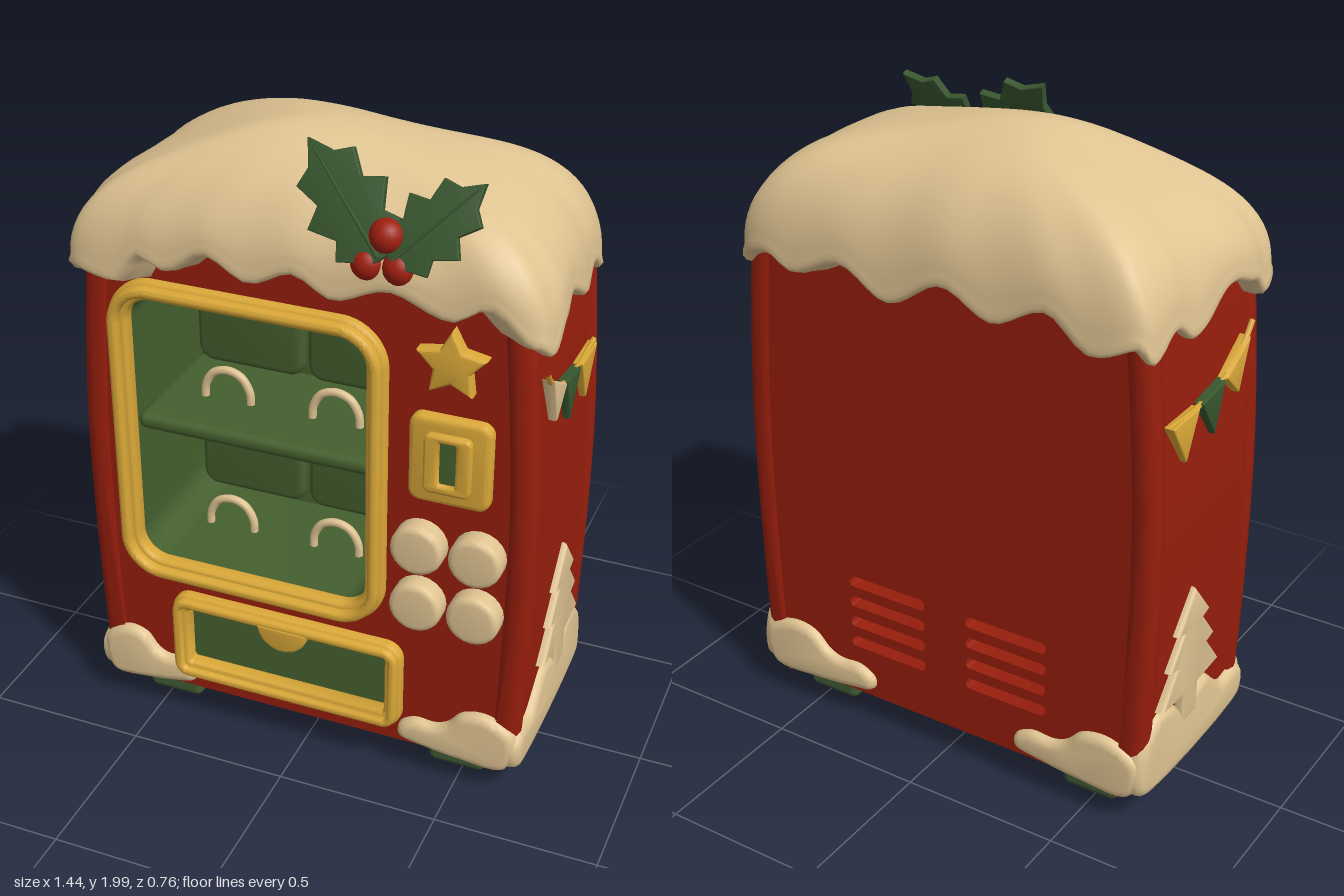
import * as THREE from 'three';
import { toCreasedNormals } from 'three/addons/utils/BufferGeometryUtils.js';
import { RoundedBoxGeometry } from 'three/addons/geometries/RoundedBoxGeometry.js';

const mat = (name, color) => new THREE.MeshStandardMaterial({ name, color });
const V2 = (p) => new THREE.Vector2(p[0], p[1]);

export function createModel() {
  const model = new THREE.Group();
  model.name = 'snowyVendingMachine';
  const red = mat('red', 0x971e0c), cream = mat('cream', 0xe0c492), gold = mat('gold', 0xdaa838);
  const green = mat('green', 0x45602f), leafGreen = mat('leafGreen', 0x38562f), berryRed = mat('berryRed', 0xa01f0f);
  const footGreen = mat('footGreen', 0x405b35);

  const add = (name, geo, material, parent = model) => {
    const m = new THREE.Mesh(geo, material);
    m.name = name;
    parent.add(m);
    return m;
  };
  // Plate from a shape, reaching from z0 to z1 with rounded rims
  const slab = (name, shape, z0, z1, b, material, parent = model) => {
    const geo = new THREE.ExtrudeGeometry(shape, {
      depth: z1 - z0 - 2 * b, curveSegments: 10, bevelEnabled: b > 0,
      bevelSize: b, bevelThickness: b, bevelOffset: -b, bevelSegments: 3,
    });
    geo.translate(0, 0, z0 + b);
    return add(name, toCreasedNormals(geo, 0.7), material, parent);
  };
  const poly = (pts) => new THREE.Shape(pts.map(V2));
  const blob = (pts) => {
    const c = new THREE.CatmullRomCurve3(pts.map((p) => new THREE.Vector3(p[0], p[1], 0)), true);
    return new THREE.Shape(c.getPoints(60).slice(0, -1).map((p) => new THREE.Vector2(p.x, p.y)));
  };
  const roundRect = (x0, y0, x1, y1, r) => {
    const s = new THREE.Shape();
    s.absarc(x1 - r, y1 - r, r, 0, Math.PI / 2);
    s.absarc(x0 + r, y1 - r, r, Math.PI / 2, Math.PI);
    s.absarc(x0 + r, y0 + r, r, Math.PI, Math.PI * 1.5);
    s.absarc(x1 - r, y0 + r, r, Math.PI * 1.5, Math.PI * 2);
    s.closePath();
    return s;
  };
  // Ring between two insets of one rounded rectangle
  const ring = (x0, y0, x1, y1, r, i, o) => {
    const s = roundRect(x0 + i, y0 + i, x1 - i, y1 - i, r - i);
    s.holes.push(roundRect(x0 + o, y0 + o, x1 - o, y1 - o, Math.max(r - o, 0.012)));
    return s;
  };

  // Cabinet with gently bulging sides
  const sideCurve = new THREE.SplineCurve([[0.66, 0.1], [0.685, 0.17], [0.7, 0.5], [0.705, 0.9],
    [0.695, 1.2], [0.668, 1.55], [0.645, 1.67]].map(V2)).getPoints(24);
  const outline = (inset) => poly([
    ...sideCurve.map((p) => [p.x - inset, p.y]),
    ...sideCurve.slice().reverse().map((p) => [inset - p.x, p.y])]);
  const front = outline(0.015), back = outline(0.015);
  front.holes.push(roundRect(-0.55, 0.56, 0.22, 1.475, 0.1), roundRect(-0.39, 0.2, 0.28, 0.42, 0.02));
  for (const x of [-0.36, 0.07])
    for (let i = 0; i < 4; i++)
      back.holes.push(roundRect(x, 0.268 + i * 0.073, x + 0.28, 0.306 + i * 0.073, 0.014));
  slab('cabinetFront', front, -0.15, 0.31, 0, red);
  slab('cabinetCore', outline(0.015), -0.25, -0.15, 0, red);
  slab('cabinetBackWithVents', back, -0.31, -0.25, 0, red);
  for (const s of [-1, 1])
    for (const z of [-0.32, 0.24])
      slab('cornerPost', poly([
        ...sideCurve.map((p) => [s * p.x, p.y]),
        ...sideCurve.slice().reverse().map((p) => [s * (p.x - 0.09), p.y])]), z, z + 0.08, 0.036, red);

  // Display compartment
  slab('compartmentLining', ring(-0.55, 0.56, 0.22, 1.475, 0.1, 0, 0.014), -0.15, 0.31, 0, green);
  slab('compartmentBack', roundRect(-0.55, 0.56, 0.22, 1.475, 0.1), -0.15, -0.14, 0, green);
  const ceiling = add('slopedCeiling', new THREE.BoxGeometry(0.74, 0.06, 0.38), green);
  ceiling.position.set(-0.165, 1.465, 0.085);
  ceiling.rotation.x = -0.16;
  add('shelf', new RoundedBoxGeometry(0.75, 0.052, 0.43, 3, 0.024), green).position.set(-0.165, 1.03, 0.075);
  for (const y of [0.6, 1.055])
    for (const x of [-0.345, 0.025]) {
      slab('backPanel', roundRect(x - 0.178, y, x + 0.178, y + 0.385, 0.05), -0.145, -0.09, 0.02, green);
      const cx = x < 0 ? -0.325 : 0.025;
      const pts = [[-0.075, 0], [-0.072, 0.04], [-0.045, 0.085], [0, 0.1], [0.045, 0.085], [0.072, 0.04], [0.075, 0]];
      const hoop = new THREE.CatmullRomCurve3(pts.map((p) => new THREE.Vector3(cx + p[0], y + p[1], 0.11)));
      add('hoop', new THREE.TubeGeometry(hoop, 24, 0.013, 8), cream);
    }

  // Gold window frame and collection tray
  slab('windowFrame', ring(-0.59, 0.52, 0.265, 1.525, 0.14, 0, 0.06), 0.29, 0.34, 0.014, gold);
  slab('windowFrameRoll', ring(-0.59, 0.52, 0.265, 1.525, 0.14, 0.01, 0.042), 0.32, 0.368, 0.013, gold);
  slab('trayFrame', ring(-0.43, 0.165, 0.325, 0.47, 0.055, 0, 0.052), 0.29, 0.345, 0.014, gold);
  slab('trayFrameRoll', ring(-0.43, 0.165, 0.325, 0.47, 0.055, 0.008, 0.036), 0.32, 0.365, 0.012, gold);
  slab('trayBack', roundRect(-0.39, 0.2, 0.28, 0.42, 0.02), 0.23, 0.29, 0, green);
  const tab = new THREE.Shape();
  tab.absarc(-0.05, 0.448, 0.082, Math.PI, Math.PI * 2);
  slab('trayTab', tab, 0.3, 0.368, 0.01, gold);

  // Star, coin slot and buttons
  const star = [];
  for (let i = 0; i < 10; i++) {
    const a = Math.PI / 2 + (i * Math.PI) / 5, r = i % 2 ? 0.056 : 0.106;
    star.push([0.453 + r * Math.cos(a), 1.448 + r * Math.sin(a)]);
  }
  slab('star', poly(star), 0.29, 0.352, 0.012, gold);
  slab('coinPlate', roundRect(0.335, 1.005, 0.575, 1.28, 0.035), 0.29, 0.345, 0.015, gold);
  const surround = roundRect(0.386, 1.052, 0.524, 1.238, 0.02);
  surround.holes.push(roundRect(0.43, 1.08, 0.48, 1.216, 0.006));
  slab('coinSurround', surround, 0.33, 0.366, 0.008, gold);
  slab('coinSlot', roundRect(0.425, 1.075, 0.485, 1.221, 0.006), 0.342, 0.35, 0, green);
  for (const x of [0.372, 0.546])
    for (const y of [0.648, 0.845]) {
      const c = new THREE.Shape();
      c.absarc(x, y, 0.08, 0, Math.PI * 2);
      slab('button', c, 0.29, 0.372, 0.018, cream);
    }

  // Both sides: bunting, fir tree and drifted snow
  for (const s of [-1, 1]) {
    const side = new THREE.Group();
    side.name = s > 0 ? 'leftSide' : 'rightSide';
    side.rotation.y = (s * Math.PI) / 2;
    model.add(side);
    const at = (pts) => pts.map(([z, y]) => [-s * z, y]);
    const cord = at([[0.245, 1.425], [0.2, 1.375], [0.07, 1.305], [-0.08, 1.285], [-0.245, 1.29]]);
    add('buntingCord', new THREE.TubeGeometry(new THREE.CatmullRomCurve3(
      cord.map((p) => new THREE.Vector3(p[0], p[1], 0.69))), 24, 0.009, 6), gold, side);
    const flags = [[[0.215, 1.39], [0.075, 1.312], [0.16, 1.235]], [[0.07, 1.312], [-0.07, 1.292], [0.018, 1.165]],
      [[-0.082, 1.29], [-0.24, 1.288], [-0.15, 1.15]]];
    const colours = [s > 0 ? cream : gold, leafGreen, gold];
    flags.forEach((f, i) => slab('buntingFlag', poly(at(f)), 0.66, 0.704, 0.008, colours[i], side));
    const half = [[0, 0.7], [0.1, 0.58], [0.062, 0.57], [0.138, 0.475], [0.095, 0.465], [0.178, 0.36], [0.045, 0.35], [0.045, 0.25]];
    slab('firTree', poly(at([...half.map((p) => [p[0] - 0.05, p[1]]),
      ...half.slice(1).reverse().map((p) => [-p[0] - 0.05, p[1]])])), 0.66, 0.708, 0.012, cream, side);
    slab('sideDrift', blob(at([[0.325, 0.12], [0.335, 0.2], [0.29, 0.235], [0.2, 0.225], [0.14, 0.27], [0.08, 0.32],
      [0, 0.31], [-0.07, 0.285], [-0.13, 0.335], [-0.22, 0.35], [-0.3, 0.29], [-0.33, 0.2], [-0.32, 0.12],
      [-0.26, 0.095], [0.26, 0.095]])), 0.62, 0.702, 0.03, cream, side);
    // Two-lobed drifts wrapping the front and back corners
    const drift = [[0.655, 0.1], [0.688, 0.16], [0.685, 0.23], [0.645, 0.265], [0.585, 0.285], [0.52, 0.27], [0.475, 0.222],
      [0.435, 0.205], [0.37, 0.207], [0.322, 0.175], [0.325, 0.135], [0.4, 0.115], [0.52, 0.1]];
    const shape = (w) => blob(drift.map(([x, y]) => [s * (0.685 - (0.69 - x) * w), y]));
    slab('frontDrift', shape(s > 0 ? 1 : 0.86), 0.26, 0.343, 0.026, cream);
    slab('backDrift', shape(1.15), -0.338, -0.26, 0.026, cream);
    // Tapered feet
    for (const z of [0.18, -0.178]) {
      const geo = new RoundedBoxGeometry(0.212, 0.14, 0.176, 3, 0.025);
      const p = geo.attributes.position;
      for (let i = 0; i < p.count; i++) {
        const k = 1 - 0.16 * (0.5 - p.getY(i) / 0.14);
        p.setXYZ(i, p.getX(i) * k, p.getY(i), p.getZ(i) * k);
      }
      add('foot', geo, footGreen).position.set(s * 0.482, 0.07, z);
    }
  }

  // Snow cap: rounded-rectangle rings over a dome, with a scalloped rim
  const rim = {
    front: [[-0.72, 1.54], [-0.55, 1.52], [-0.47, 1.61], [-0.39, 1.58], [-0.26, 1.65], [-0.13, 1.59], [0, 1.64],
      [0.12, 1.585], [0.28, 1.64], [0.46, 1.585], [0.56, 1.635], [0.72, 1.54]],
    back: [[-0.72, 1.54], [-0.55, 1.5], [-0.4, 1.59], [-0.22, 1.52], [-0.05, 1.59], [0.15, 1.5], [0.32, 1.58],
      [0.5, 1.52], [0.6, 1.56], [0.72, 1.54]],
    side: [[-0.37, 1.54], [-0.32, 1.49], [-0.2, 1.55], [-0.12, 1.5], [0.1, 1.59], [0.2, 1.56], [0.28, 1.495], [0.37, 1.54]],
  };
  const lookup = (t, v) => {
    for (let i = 1; i < t.length; i++)
      if (v <= t[i][0]) {
        const k = THREE.MathUtils.smoothstep(v, t[i - 1][0], t[i][0]);
        return t[i - 1][1] + (t[i][1] - t[i - 1][1]) * k;
      }
    return t[t.length - 1][1];
  };
  const N = 160, rings = [];
  for (let i = 0; i <= 24; i++) {
    const a = (i / 24) * Math.PI / 2;
    rings.push([Math.sin(a), Math.cos(a), 0.035]);
  }
  rings.push([1.008, 0, 0.018], [0.995, 0, 0.004], [0.965, 0, 0], [0.93, 0, 0.004], [0.8, 0, 0.01]);
  const pos = [], index = [];
  rings.forEach(([r, h, lift], i) => {
    // The scallops fade out above the rim
    const wave = (1 - h) ** 1.5;
    for (let j = 0; j < N; j++) {
      const q = (j / N) * 4, k = Math.floor(q), f = (q - k) * 2 - 1;
      const [a, b] = [[1, f], [-f, 1], [-1, -f], [f, -1]][k];
      const n = 5 + 8 * Math.min(r, 1) ** 2;
      const e = r / (Math.abs(a) ** n + Math.abs(b) ** n) ** (1 / n);
      const table = k % 2 ? (b > 0 ? rim.front : rim.back) : rim.side;
      const edge = 1.585 + (lookup(table, k % 2 ? a * 0.72 : b * 0.37) - 1.585) * wave + lift;
      const wob = 1 + 0.012 * r * r * Math.sin(a * 9 + b * 4) * Math.cos(b * 5);
      const z = b * e * 0.366 * wob;
      const x = a * e * (0.698 + 0.05 * z) * wob;
      const top = 1.955 + 0.016 * Math.cos((x + 0.12) * 8) + 0.006 * Math.sin(z * 11 + x * 5);
      pos.push(x, edge + (top - edge) * h, z);
      if (i < rings.length - 1) {
        const A = i * N + j, C = i * N + ((j + 1) % N);
        index.push(A, C, A + N, C, C + N, A + N);
      }
    }
  });
  const snow = new THREE.BufferGeometry();
  snow.setAttribute('position', new THREE.Float32BufferAttribute(pos, 3));
  snow.setIndex(index);
  snow.computeVertexNormals();
  add('snowCap', snow, cream);

  // Holly sprig
  const holly = new THREE.Group();
  holly.name = 'holly';
  holly.position.set(0.265, 1.73, 0.36);
  holly.rotation.x = -0.42;
  model.add(holly);
  const edge = [[0, 0.05], [0.16, 0.28], [0.28, 0.2], [0.46, 0.34], [0.56, 0.19], [0.76, 0.25], [0.82, 0.11], [1, 0]];
  for (const [x, angle, len] of [[-0.01, 2.29, 0.38], [0.02, 0.82, 0.325]]) {
    const leaf = new THREE.Group();
    leaf.name = 'hollyLeaf';
    leaf.position.x = x;
    leaf.rotation.z = angle;
    holly.add(leaf);
    const pts = [...edge, ...edge.slice(0, -1).reverse().map((p) => [p[0], -p[1]])];
    slab('leafBlade', poly(pts.map((p) => [p[0] * len, p[1] * len])), -0.012, 0.012, 0.004, leafGreen, leaf);
    const vein = add('leafVein', new THREE.CylinderGeometry(0.003, 0.007, len * 0.9, 6), leafGreen, leaf);
    vein.rotation.z = -Math.PI / 2;
    vein.position.set(len * 0.47, 0, 0.012);
  }
  for (const [x, y, z] of [[0.262, 1.79, 0.332], [0.212, 1.708, 0.338], [0.302, 1.708, 0.338]])
    add('berry', new THREE.SphereGeometry(0.049, 20, 14), berryRed).position.set(x, y, z);

  return model;
}
